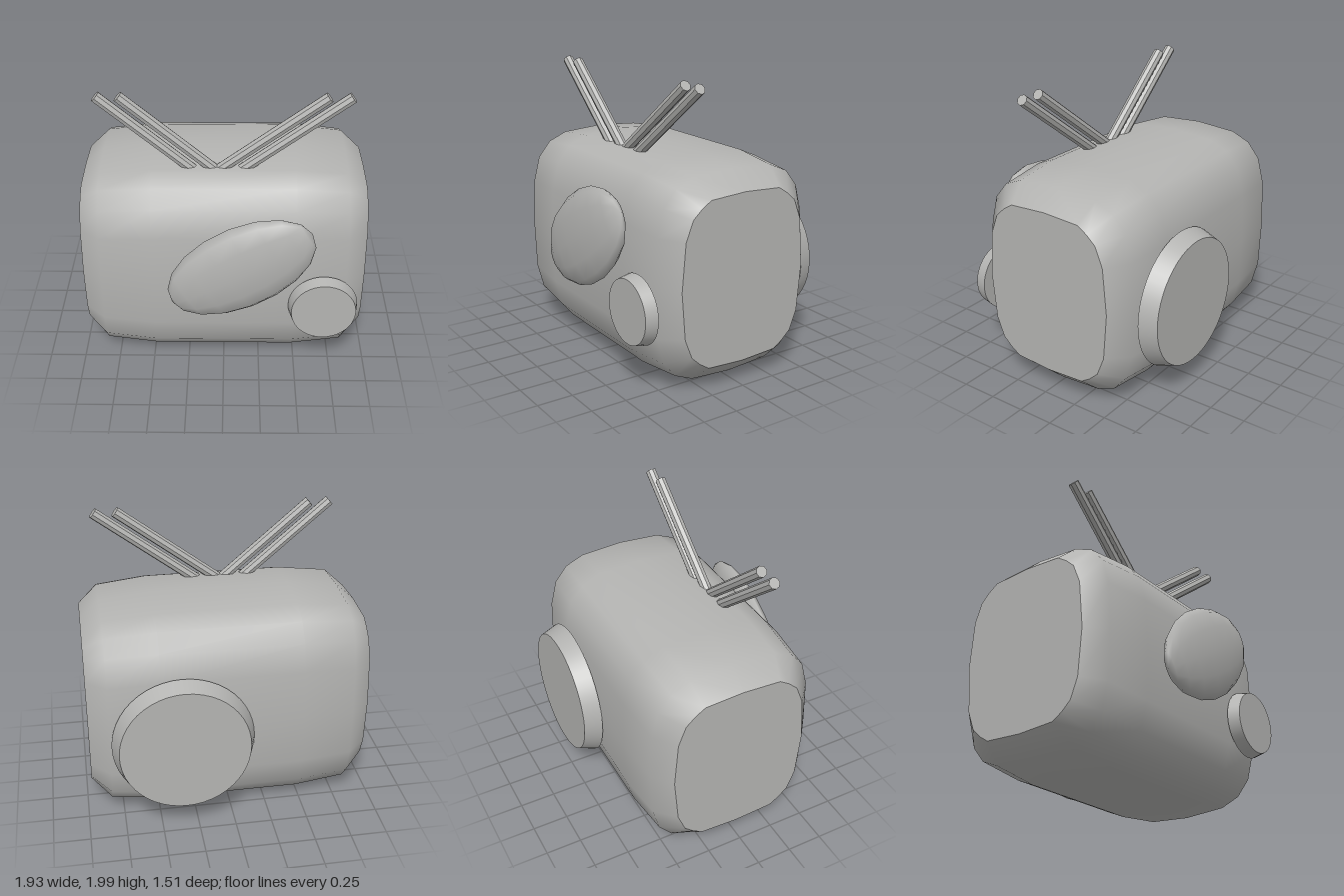
import * as THREE from 'three';

const grey = new THREE.MeshStandardMaterial({ color: 0xb4b4b2 });
grey.name = 'plain grey';

function add(group, name, geometry) {
  const mesh = new THREE.Mesh(geometry, grey);
  mesh.name = name;
  group.add(mesh);
  return mesh;
}

// Mirrors a quarter profile of [z, y] points into a closed loop, from the top towards +z
function fullLoop(q) {
  const half = [...q, ...q.slice(0, -1).reverse().map(([z, y]) => [z, -y])];
  return [...half, ...half.slice(1, -1).reverse().map(([z, y]) => [-z, y])];
}

// Rounded casing: cross-sections joined along x, with flat ends
function casingGeometry() {
  const middle = fullLoop([[0, 0.737], [0.32, 0.715], [0.46, 0.655], [0.555, 0.54], [0.605, 0.35], [0.618, 0]]);
  const end = fullLoop([[0, 0.575], [0.27, 0.56], [0.34, 0.515], [0.405, 0.455], [0.458, 0.32], [0.485, 0]]);
  const shoulder = middle.map(([z, y]) => [z * 0.955, y * 0.95]);
  const sections = [[-0.965, end], [-0.83, shoulder], [-0.48, middle], [0.48, middle], [0.83, shoulder], [0.965, end]];
  const cy = 0.747, cz = -0.015, n = middle.length;
  const pos = [], idx = [];
  const ring = (x, loop) => loop.forEach(([z, y]) => pos.push(x, cy + y, cz + z));
  sections.forEach(([x, loop]) => ring(x, loop));
  for (let i = 0; i < sections.length - 1; i++) {
    for (let j = 0; j < n; j++) {
      const k = (j + 1) % n;
      const a = i * n + j, b = i * n + k, c = a + n, d = b + n;
      idx.push(a, b, c, b, d, c);
    }
  }
  // End caps have their own vertices so that the rim stays sharp
  for (const s of [-1, 1]) {
    const first = pos.length / 3;
    ring(s * 0.965, end);
    pos.push(s * 0.965, cy, cz);
    for (let j = 0; j < n; j++) {
      const a = first + j, b = first + (j + 1) % n;
      idx.push(first + n, s > 0 ? a : b, s > 0 ? b : a);
    }
  }
  const g = new THREE.BufferGeometry();
  g.setAttribute('position', new THREE.Float32BufferAttribute(pos, 3));
  g.setIndex(idx);
  g.computeVertexNormals();
  return g;
}

// Eight-sided faceted rod between two points
function rodGeometry(from, to, radius) {
  const dir = to.clone().sub(from);
  const g = new THREE.CylinderGeometry(radius, radius, dir.length(), 8).toNonIndexed();
  g.computeVertexNormals();
  g.applyQuaternion(new THREE.Quaternion().setFromUnitVectors(new THREE.Vector3(0, 1, 0), dir.normalize()));
  const mid = from.clone().add(to).multiplyScalar(0.5);
  return g.translate(mid.x, mid.y, mid.z);
}

export function createModel() {
  const model = new THREE.Group();
  model.name = 'television';

  add(model, 'casing', casingGeometry());

  // Tilted oval screen bulging from the front
  const oval = new THREE.SphereGeometry(1, 12, 9);
  oval.rotateZ(-Math.PI / 2).scale(0.54, 0.315, 0.097);
  const screen = add(model, 'screen', oval);
  screen.rotation.z = 0.55;
  screen.position.set(0.115, 0.918, 0.662);

  // Round dial beside the screen
  const dial = add(model, 'dial', new THREE.CylinderGeometry(0.218, 0.236, 0.085, 40));
  dial.rotation.x = Math.PI / 2;
  dial.position.set(0.677, 0.577, 0.649);

  // Large tapered disc on the back
  const disc = add(model, 'backDisc', new THREE.CylinderGeometry(0.438, 0.48, 0.12, 48));
  disc.rotation.x = -Math.PI / 2;
  disc.position.set(0.34, 0.652, -0.695);

  // Two pairs of aerial rods: [tip x, foot x]
  const aerials = new THREE.Group();
  aerials.name = 'aerials';
  model.add(aerials);
  [[-0.825, -0.2], [-0.68, -0.055], [0.675, -0.04], [0.825, 0.11]].forEach(([tip, foot]) => {
    add(aerials, 'aerialRod', rodGeometry(
      new THREE.Vector3(foot, 1.43, 0.25), new THREE.Vector3(tip, 1.97, 0.25), 0.038));
  });

  return model;
}
